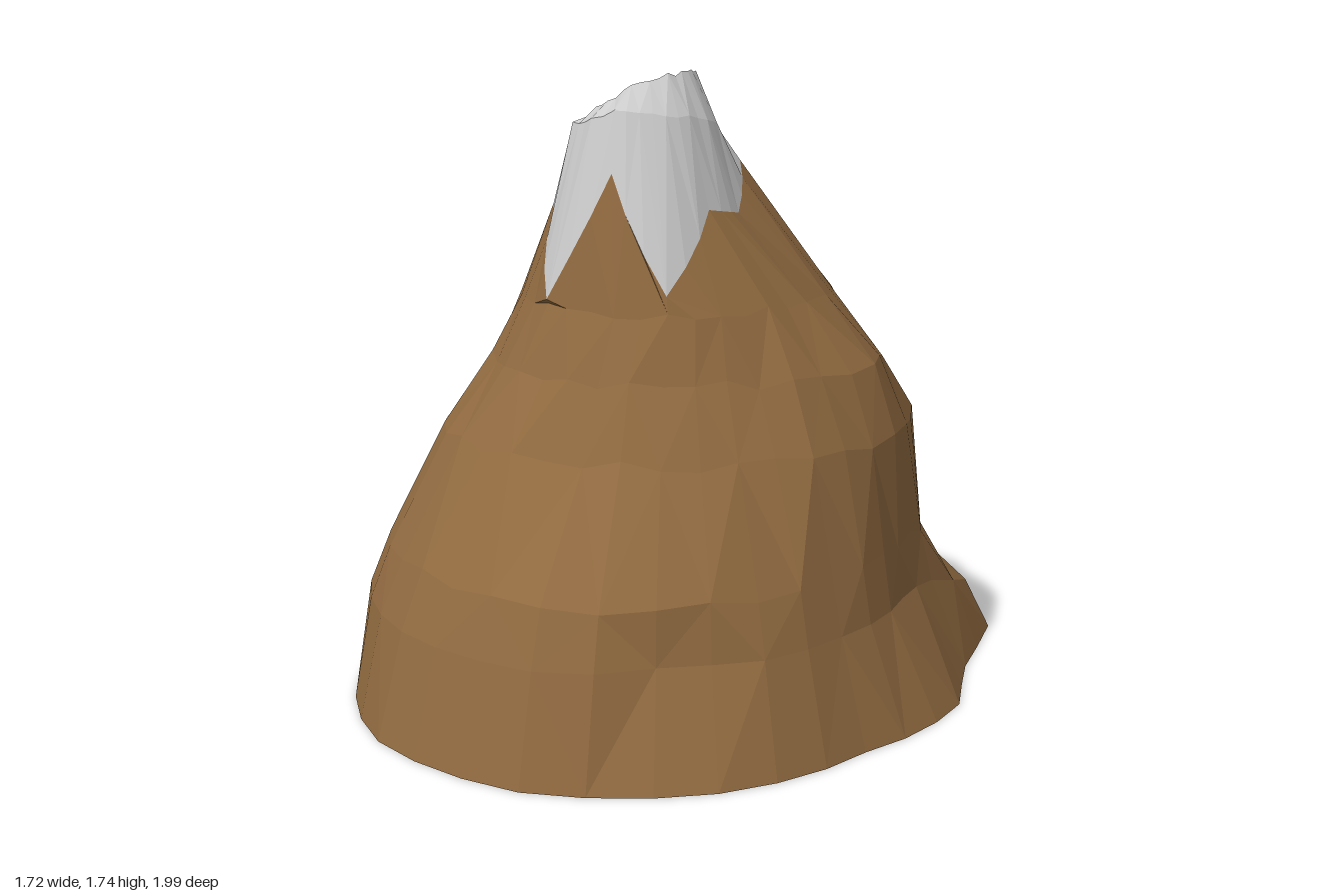
import * as THREE from 'three';

const SEGMENTS = 36;

// Value of an evenly spaced, closed list at a fraction of a turn (numbers stay constant)
function around(values, t) {
  if (typeof values === 'number') return values;
  const n = values.length, p = t * n, i = Math.floor(p);
  return THREE.MathUtils.lerp(values[i], values[(i + 1) % n], p - i);
}

// Small repeatable wobble for a rocky surface
function wobble(i, k) {
  const s = Math.sin(i * 127.1 + k * 311.7) * 43758.5453;
  return (s - Math.floor(s)) * 2 - 1;
}

// Soft swelling around one direction, in degrees
const swell = (degrees, centre, width) => Math.exp(-(((degrees - centre) / width) ** 2));

// One closed outline; angle 0 is the front, a quarter turn is +x
function ring({ x = 0, z = 0, y, r, tilt = 0, lobe = 0, sag = 0, spur = 0, dent = 0, rough = 0 }, k) {
  return Array.from({ length: SEGMENTS }, (_, i) => {
    const t = i / SEGMENTS, a = t * Math.PI * 2, degrees = t * 360;
    const side = swell(degrees, 136, 20);
    const radius = around(r, t) + lobe * side + spur * swell(degrees, 184, 12)
      - dent * swell(degrees, 24, 8) + rough * wobble(i, k);
    return new THREE.Vector3(
      x + radius * Math.sin(a),
      around(y, t) + tilt * Math.sin(a) - sag * side + 2 * rough * wobble(i, k + 40),
      z + radius * Math.cos(a));
  });
}

// Faceted skin through successive rings
function skin(name, rings, color) {
  const points = [];
  for (let k = 0; k + 1 < rings.length; k++) {
    for (let i = 0; i < SEGMENTS; i++) {
      const j = (i + 1) % SEGMENTS;
      const a = rings[k][i], b = rings[k][j], c = rings[k + 1][j], d = rings[k + 1][i];
      if ((i + k) % 2) points.push(a, b, c, a, c, d);
      else points.push(a, b, d, b, c, d);
    }
  }
  const geometry = new THREE.BufferGeometry().setFromPoints(points);
  geometry.computeVertexNormals();
  const mesh = new THREE.Mesh(geometry, new THREE.MeshStandardMaterial({
    color, flatShading: true, side: THREE.DoubleSide,
  }));
  mesh.name = name;
  return mesh;
}

export function createModel() {
  // Rock, from the open foot upwards, with two spurs at the back and a dent in front
  const rock = [
    { y: 0, lobe: 0.27, spur: 0.28,
      r: [0.99, 0.93, 0.84, 0.87, 0.79, 0.79, 0.745, 0.73, 0.725, 0.83, 0.91, 0.98] },
    { y: 0.29, lobe: 0.25, sag: 0.14, spur: 0.17, dent: 0.05,
      r: [0.91, 0.83, 0.74, 0.7, 0.72, 0.73, 0.72, 0.69, 0.69, 0.79, 0.87, 0.9] },
    { y: 0.44, sag: 0.08, rough: 0.007,
      r: [0.86, 0.77, 0.7, 0.68, 0.74, 0.75, 0.73, 0.67, 0.68, 0.79, 0.81, 0.83] },
    { y: 0.75, rough: 0.008, r: [0.6, 0.59, 0.665, 0.72, 0.695, 0.64, 0.65, 0.65] },
    { y: 0.94, rough: 0.008, r: [0.51, 0.49, 0.6, 0.59, 0.65, 0.55, 0.5, 0.51] },
    { x: 0.02, z: 0.02, y: 1.12, rough: 0.006, r: [0.42, 0.41, 0.42, 0.48, 0.47, 0.46, 0.44, 0.43] },
  ].map(ring);

  // Jagged border between rock and snow
  const snowLine = ring({
    x: -0.02, z: 0.1,
    y: [1.48, 1.17, 1.38, 1.36, 1.49, 1.38, 1.38, 1.36, 1.38, 1.4, 1.36, 1.14],
    r: [0.26, 0.35, 0.26, 0.26, 0.25, 0.3, 0.28, 0.28, 0.27, 0.27, 0.27, 0.35],
  }, 0);

  // Shoulder of the snow, tilted crater rim, then a small closed floor
  const bowl = { x: -0.03, z: 0.12 };
  const shoulder = ring({ ...bowl, y: [1.64, 1.6, 1.56, 1.58], r: 0.2, tilt: 0.01, rough: 0.004 }, 7);
  const rim = ring({ ...bowl, y: [1.69, 1.68, 1.67, 1.67], r: 0.14, tilt: 0.06, rough: 0.004 }, 8);
  const floor = ring({ ...bowl, y: 1.53, r: 0.07, rough: 0.005 }, 9);
  const floorCentre = ring({ ...bowl, y: 1.52, r: 0 }, 0);

  const mountain = new THREE.Group();
  mountain.name = 'mountain';
  mountain.add(
    skin('rockSlopes', [...rock, snowLine], 0x906a40),
    skin('snowCap', [snowLine, shoulder, rim], 0xcccccc),
    skin('crater', [rim, floor, floorCentre], 0xcccccc));
  return mountain;
}
